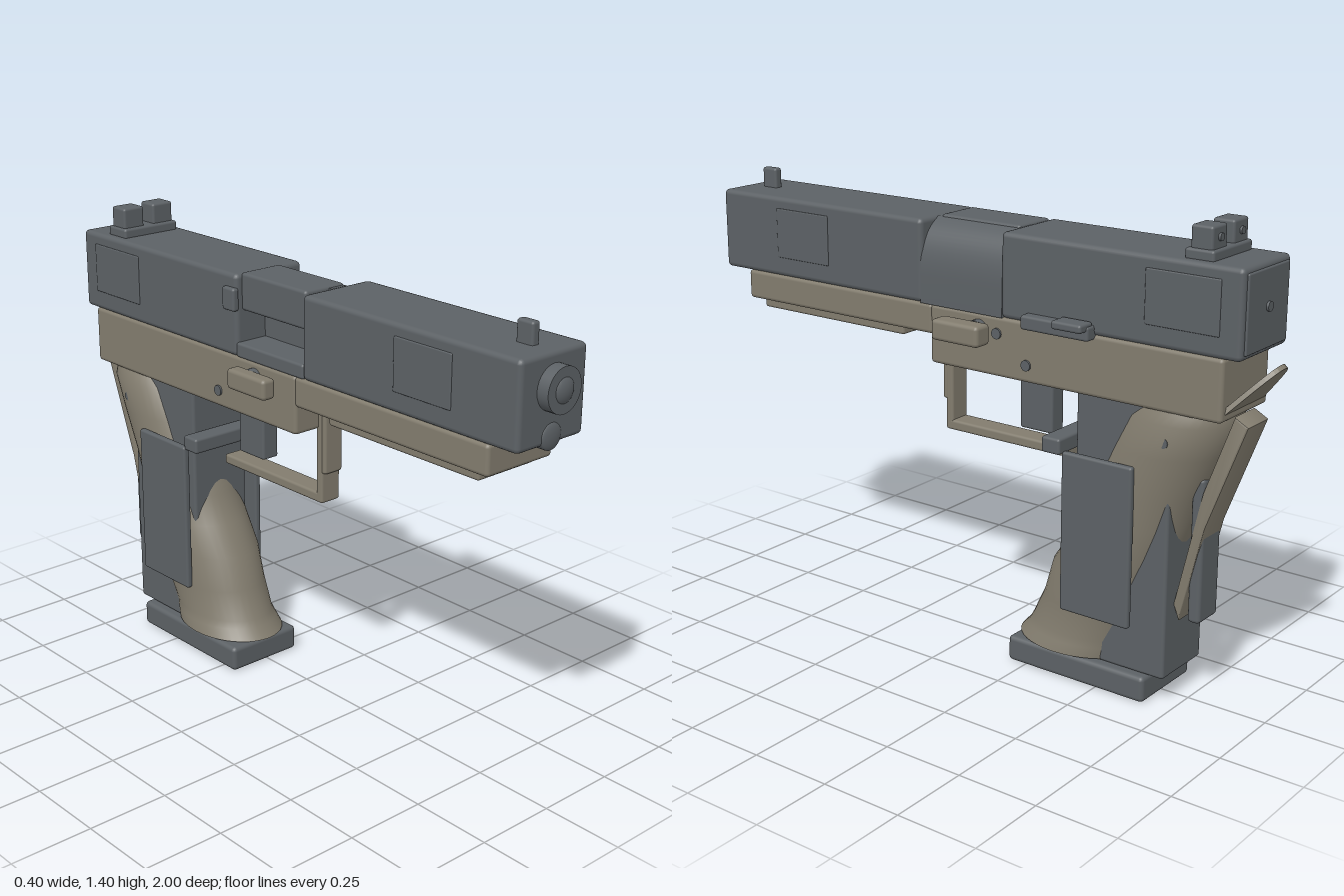
import * as THREE from 'three';
import { toCreasedNormals } from 'three/addons/utils/BufferGeometryUtils.js';
import { RoundedBoxGeometry } from 'three/addons/geometries/RoundedBoxGeometry.js';

const CX = -0.012; // centre line of the body

export function createModel() {
  const root = new THREE.Group();
  const steel = new THREE.MeshStandardMaterial({ color: 0x5c6165 });
  steel.name = 'gunmetal grey';
  const tan = new THREE.MeshStandardMaterial({ color: 0x827c6e });
  tan.name = 'warm tan grey';

  const add = (name, geo, mat) => {
    const m = new THREE.Mesh(geo, mat);
    m.name = name;
    root.add(m);
    return m;
  };
  // rounded box from its bounds
  const box = (name, mat, x0, x1, y0, y1, z0, z1, r = 0.008) => {
    const s = [x1 - x0, y1 - y0, z1 - z0];
    const rad = Math.min(r, 0.45 * Math.min(...s));
    const m = add(name, new RoundedBoxGeometry(...s, 2, rad), mat);
    m.position.set((x0 + x1) / 2, (y0 + y1) / 2, (z0 + z1) / 2);
    return m;
  };
  // box centred on the body's centre line
  const mid = (name, mat, hw, y0, y1, z0, z1, r) => box(name, mat, CX - hw, CX + hw, y0, y1, z0, z1, r);
  const rod = (name, mat, r, len, x, y, z, axis = 'z') => {
    const g = new THREE.CylinderGeometry(r, r, len, 28);
    if (axis === 'z') g.rotateX(Math.PI / 2);
    else g.rotateZ(Math.PI / 2);
    add(name, g, mat).position.set(x, y, z);
  };

  // slide
  mid('slideFront', steel, 0.127, 1.06, 1.31, 0.137, 0.953, 0.015);
  mid('slideRear', steel, 0.127, 1.06, 1.31, -0.93, -0.153, 0.015);
  mid('slideEndPlate', steel, 0.11, 1.075, 1.295, -0.936, -0.925);
  rod('strikerDot', steel, 0.014, 0.012, CX, 1.19, -0.937);
  for (const s of [-1, 1]) {
    const x = CX + s * 0.127;
    box('frontGripPlate', steel, x - 0.004, x + 0.004, 1.12, 1.275, 0.507, 0.72);
    box('rearGripPlate', steel, x - 0.004, x + 0.004, 1.12, 1.275, -0.865, -0.635);
  }
  box('extractor', steel, -0.153, -0.13, 1.2, 1.27, -0.205, -0.15);

  // port section: curved wall on one side, open on the other
  const wall = new THREE.Shape();
  wall.moveTo(-0.03, 1.06);
  wall.lineTo(0.115, 1.06);
  wall.lineTo(0.115, 1.14);
  wall.bezierCurveTo(0.115, 1.23, 0.09, 1.29, 0.025, 1.308);
  wall.lineTo(-0.03, 1.308);
  const wallGeo = new THREE.ExtrudeGeometry(wall, { depth: 0.3, bevelEnabled: false, curveSegments: 14 });
  wallGeo.translate(0, 0, -0.158);
  add('portWall', toCreasedNormals(wallGeo, 0.6), steel);
  box('barrelHood', steel, -0.118, 0.03, 1.2, 1.314, -0.158, 0.13, 0.01);
  box('portFloor', steel, -0.138, 0.1, 1.06, 1.105, -0.16, 0.14);

  // muzzle
  rod('barrel', steel, 0.052, 1.13, CX, 1.215, 0.4);
  rod('muzzleCollar', steel, 0.064, 0.045, CX, 1.215, 0.967);
  const dome = add('muzzleDome', new THREE.SphereGeometry(0.042, 24, 14), steel);
  dome.scale.z = 0.55;
  dome.position.set(CX, 1.215, 0.977);
  rod('guideRod', steel, 0.039, 0.12, CX, 1.083, 0.89);
  const tip = add('guideRodTip', new THREE.SphereGeometry(0.039, 24, 14), steel);
  tip.scale.z = 0.3;
  tip.position.set(CX, 1.083, 0.95);

  // sights
  mid('frontSight', steel, 0.014, 1.3, 1.372, 0.83, 0.888);
  mid('rearSightBase', steel, 0.102, 1.305, 1.338, -0.825, -0.735);
  for (const s of [-1, 1]) {
    const x = CX + s * 0.056;
    box('rearSightPost', steel, x - 0.038, x + 0.038, 1.33, 1.4, -0.815, -0.748);
    rod('sightDot', steel, 0.011, 0.01, x, 1.368, -0.817);
  }

  // frame
  mid('dustCover', tan, 0.126, 0.97, 1.062, 0.1, 0.855, 0.012);
  mid('accessoryRail', tan, 0.106, 0.943, 0.98, 0.227, 0.807);
  mid('frame', tan, 0.126, 0.883, 1.062, -0.88, 0.107, 0.012);
  const tongue = new THREE.Shape();
  tongue.moveTo(-0.11, 0);
  tongue.lineTo(0.11, 0);
  tongue.bezierCurveTo(0.075, 0.09, 0.05, 0.177, 0, 0.177);
  tongue.bezierCurveTo(-0.05, 0.177, -0.075, 0.09, -0.11, 0);
  const tailGeo = new THREE.ExtrudeGeometry(tongue, { depth: 0.014, bevelEnabled: false });
  tailGeo.rotateX(-0.745);
  add('beavertail', tailGeo, tan).position.set(CX, 0.9, -0.875);

  // trigger and guard
  mid('guardFront', tan, 0.036, 0.665, 0.975, 0.095, 0.122);
  mid('guardFrontPad', tan, 0.034, 0.745, 0.938, 0.112, 0.135);
  mid('guardBottom', tan, 0.036, 0.65, 0.682, -0.335, 0.122);
  mid('trigger', steel, 0.03, 0.708, 0.9, -0.27, -0.153);

  // controls
  for (const s of [-1, 1]) {
    const x0 = s > 0 ? 0.135 : -0.2, x1 = s > 0 ? 0.198 : -0.153;
    box('takedownLever', tan, x0, x1, 0.982, 1.045, -0.132, 0.038, 0.012);
  }
  rod('takedownPin', steel, 0.03, 0.3, CX, 1.015, -0.075, 'x');
  rod('leverPin', steel, 0.016, 0.264, CX, 1.012, -0.14, 'x');
  rod('framePin', steel, 0.016, 0.264, CX, 0.935, -0.245, 'x');
  rod('gripPin', steel, 0.015, 0.272, CX, 0.8, -0.71, 'x');
  box('slideStop', steel, 0.1, 0.148, 1.048, 1.09, -0.475, -0.245);
  box('slideStopTab', steel, 0.115, 0.176, 1.075, 1.1, -0.47, -0.37);
  box('magazineRelease', steel, -0.164, 0.16, 0.707, 0.755, -0.395, -0.332);

  // grip core and side panels
  mid('gripCore', steel, 0.104, 0.08, 0.9, -0.717, -0.405, 0.01);
  for (const s of [-1, 1]) {
    const x = CX + s * 0.144;
    box('sidePanel', steel, x - 0.011, x + 0.011, 0.23, 0.715, -0.625, -0.39);
  }

  // swept oval grip shell: y, half width, front z, back z
  const rings = [
    [0.085, 0.001, -0.36, -0.362], [0.085, 0.147, -0.17, -0.56], [0.118, 0.14, -0.2, -0.57],
    [0.14, 0.133, -0.212, -0.58], [0.23, 0.139, -0.255, -0.62], [0.335, 0.141, -0.285, -0.66],
    [0.43, 0.141, -0.345, -0.7], [0.52, 0.14, -0.392, -0.735], [0.62, 0.14, -0.42, -0.77],
    [0.75, 0.14, -0.48, -0.83], [0.85, 0.138, -0.53, -0.872], [0.885, 0.122, -0.56, -0.87],
    [0.89, 0.001, -0.7, -0.702],
  ];
  const N = 40, pos = [], idx = [];
  rings.forEach(([y, w, zf, zb], i) => {
    for (let j = 0; j < N; j++) {
      const a = (j / N) * Math.PI * 2;
      pos.push(CX + w * Math.cos(a), y, (zf + zb) / 2 + ((zf - zb) / 2) * Math.sin(a));
      if (i === rings.length - 1) continue;
      const p = i * N + j, q = i * N + ((j + 1) % N);
      idx.push(p, p + N, q, q, p + N, q + N);
    }
  });
  const shell = new THREE.BufferGeometry();
  shell.setAttribute('position', new THREE.Float32BufferAttribute(pos, 3));
  shell.setIndex(idx);
  shell.computeVertexNormals();
  add('gripShell', toCreasedNormals(shell, 0.7), tan);

  // backstrap: side outline in z, y, extruded across x
  const outline = [[-0.918, 0.862], [-0.885, 0.88], [-0.8, 0.65], [-0.72, 0.3], [-0.732, 0.262], [-0.8, 0.55]];
  const strap = new THREE.Shape(outline.map(([z, y]) => new THREE.Vector2(z, y)));
  const strapGeo = new THREE.ExtrudeGeometry(strap, { depth: 0.1, bevelSize: 0.006, bevelThickness: 0.006, bevelSegments: 2 });
  strapGeo.translate(0, 0, -0.05);
  strapGeo.rotateY(-Math.PI / 2);
  add('backstrap', toCreasedNormals(strapGeo, 0.5), tan).position.x = CX;
  mid('backstrapInsert', steel, 0.052, 0.255, 0.69, -0.797, -0.757, 0.012);

  // magazine base
  mid('magazineBase', steel, 0.13, 0, 0.08, -0.667, -0.188, 0.014);
  return root;
}
